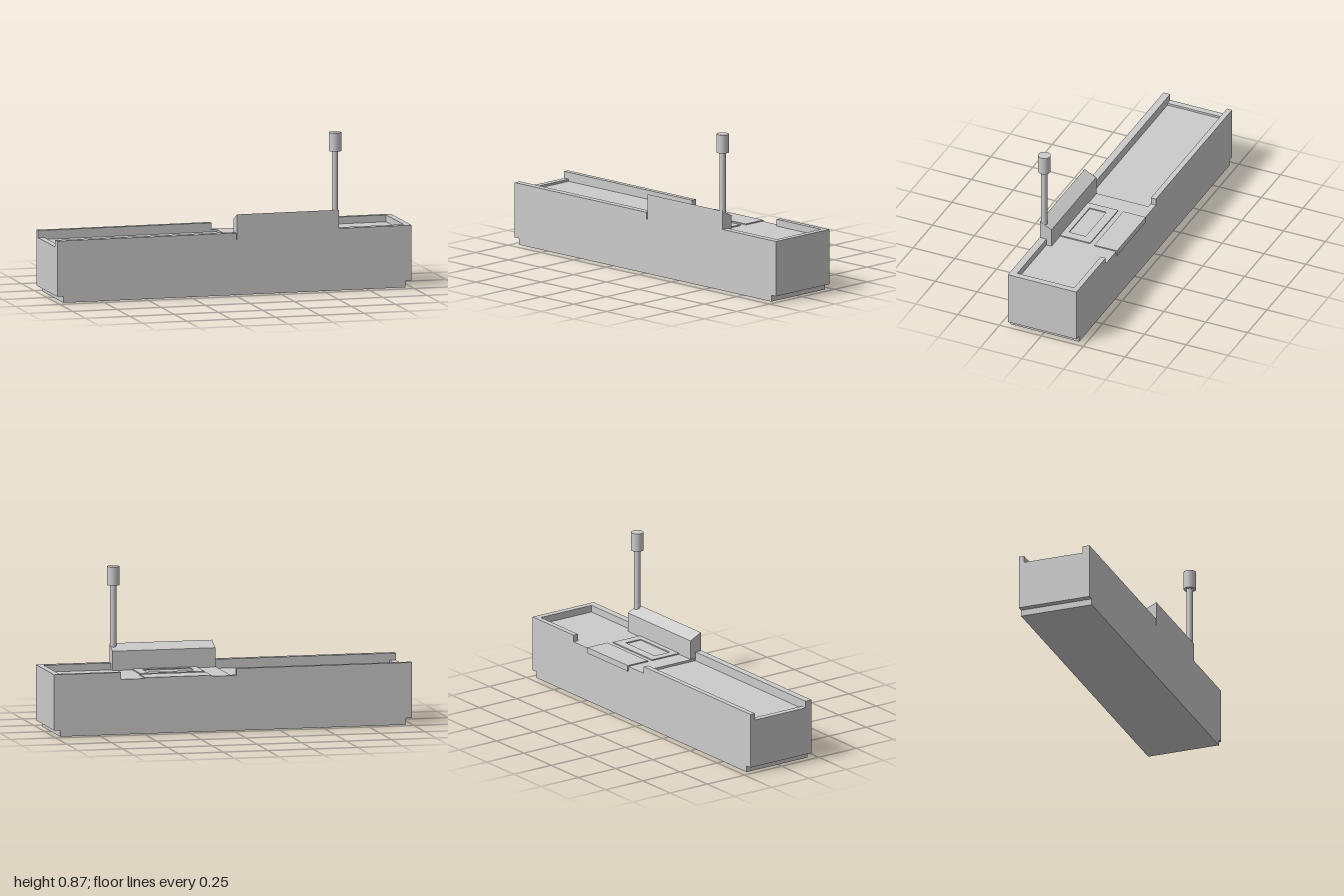
import * as THREE from 'three';

export function createModel() {
  const model = new THREE.Group();
  const material = new THREE.MeshStandardMaterial({ color: 0xcccccc, flatShading: true });
  const smooth = new THREE.MeshStandardMaterial({ color: 0xcccccc });

  const add = (name, geometry, mat = material) => {
    const mesh = new THREE.Mesh(geometry, mat);
    mesh.name = name;
    model.add(mesh);
    return mesh;
  };
  // Box given by its limits on each axis
  const box = (name, x0, x1, y0, y1, z0, z1) =>
    add(name, new THREE.BoxGeometry(x1 - x0, y1 - y0, z1 - z0))
      .position.set((x0 + x1) / 2, (y0 + y1) / 2, (z0 + z1) / 2);
  // Outline extruded from depth 0 upwards along its own z axis
  const prism = (points, depth) => new THREE.ExtrudeGeometry(
    new THREE.Shape(points.map(([a, b]) => new THREE.Vector2(a, b))),
    { depth, bevelEnabled: false });

  const back = -0.21, front = 0.2, backIn = -0.18, frontIn = 0.16;
  const floor = 0.29, deck = 0.302, rim = 0.34;

  // Main body with notched lower ends
  add('body', prism([
    [-0.965, 0], [0.965, 0], [0.965, 0.035], [1, 0.035],
    [1, floor], [-1, floor], [-1, 0.035], [-0.965, 0.035],
  ], front - back)).position.z = back;

  // Upper deck and the low sill closing the sunken left bay
  box('deck', 0.01, 1, floor, deck, back, front);
  box('endSill', -1, -0.965, floor, deck, backIn, frontIn);
  box('deckCorner', -0.02, 0.01, floor, deck, back, backIn);

  // Rim walls
  box('backWallLong', -1, -0.02, floor, rim, back, backIn);
  box('frontWallLong', -1, 0.01, floor, rim, frontIn, front);
  box('backWallShort', 0.625, 1, deck, rim, back, backIn);
  box('frontWallShort', 0.59, 0.965, deck, rim, frontIn, front);
  box('endWall', 0.965, 1, deck, rim, backIn, front);

  // Raised block with a top sloping down to the back
  const block = prism([
    [-front, deck], [-0.13, deck], [-0.13, 0.408], [-front, 0.442],
  ], 0.575);
  block.rotateY(Math.PI / 2);
  add('raisedBlock', block).position.x = 0.015;

  // Rear hatch with its overhanging lip
  box('rearHatch', 0.12, 0.49, deck, 0.308, back, -0.08);
  box('hatchLip', 0.12, 0.49, 0.275, 0.308, -0.215, back);

  // Framed panel behind the block
  const frame = new THREE.Shape([
    [0.12, -0.13], [0.48, -0.13], [0.48, 0.05], [0.12, 0.05],
  ].map(p => new THREE.Vector2(...p)));
  frame.holes.push(new THREE.Path([
    [0.165, -0.1], [0.165, 0], [0.43, 0], [0.43, -0.1],
  ].map(p => new THREE.Vector2(...p))));
  const frameGeometry = new THREE.ExtrudeGeometry(frame, { depth: 0.006, bevelEnabled: false });
  frameGeometry.rotateX(-Math.PI / 2);
  add('panelFrame', frameGeometry).position.y = deck;

  // Mast and its head
  add('mast', new THREE.CylinderGeometry(0.017, 0.017, 0.37, 32), smooth)
    .position.set(0.573, 0.585, 0.181);
  add('mastHead', new THREE.CylinderGeometry(0.034, 0.034, 0.102, 32), smooth)
    .position.set(0.573, 0.815, 0.181);

  return model;
}
